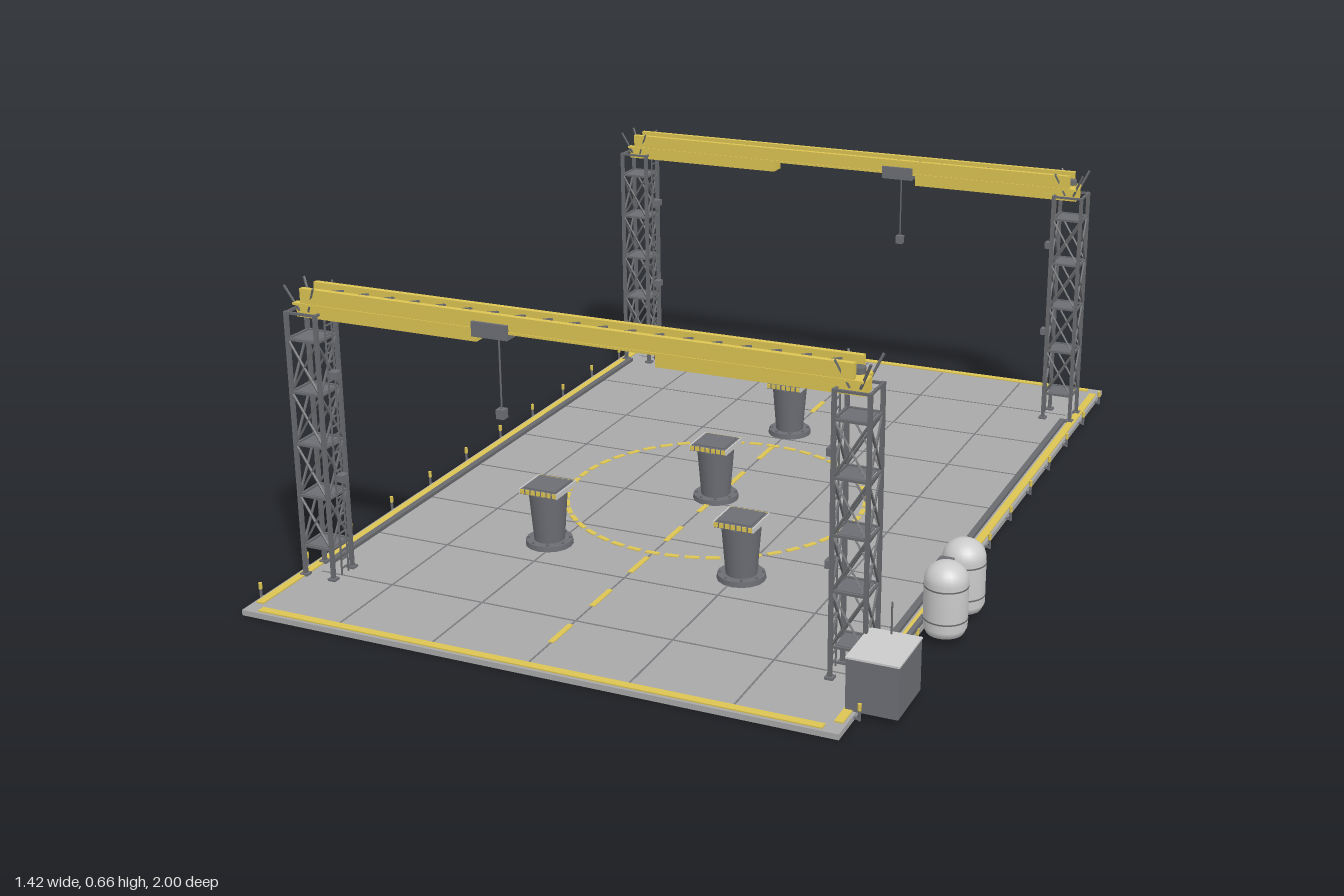
import * as THREE from 'three';

const CX = -0.0425, FLOOR = 0.012;
const mat = (color) => new THREE.MeshStandardMaterial({ color });
const V = (x, y, z) => new THREE.Vector3(x, y, z);

export function createModel() {
  const root = new THREE.Group();
  const yellow = mat(0xdcc452), dark = mat(0x6c6e74), steel = mat(0x6a6b6e);
  const grey = mat(0xcccccc), deck = mat(0xa8a8a8), seam = mat(0x7c7d80);

  const group = (name, parent = root) => {
    const g = new THREE.Group();
    g.name = name;
    parent.add(g);
    return g;
  };
  const add = (parent, name, geo, m, x = 0, y = 0, z = 0) => {
    const mesh = new THREE.Mesh(geo, m);
    mesh.name = name;
    mesh.position.set(x, y, z);
    parent.add(mesh);
    return mesh;
  };
  const box = (p, name, w, h, d, x, y, z, m) => add(p, name, new THREE.BoxGeometry(w, h, d), m, x, y, z);
  const cyl = (p, name, rt, rb, h, n, x, y, z, m) => add(p, name, new THREE.CylinderGeometry(rt, rb, h, n), m, x, y, z);
  // square bar running from a to b
  const bar = (p, name, a, b, t, m) => {
    const mid = a.clone().add(b).multiplyScalar(0.5);
    const mesh = box(p, name, t, t, a.distanceTo(b), mid.x, mid.y, mid.z, m);
    mesh.quaternion.setFromUnitVectors(V(0, 0, 1), b.clone().sub(a).normalize());
    return mesh;
  };

  // floor slab with tile seams
  const floor = group('floor');
  floor.position.x = CX;
  box(floor, 'slab', 1.305, FLOOR, 2, 0, FLOOR / 2, 0, deck);
  for (let i = -2; i <= 2; i++) box(floor, 'tileSeam', 0.004, 0.001, 1.94, i * 0.217, FLOOR + 0.0002, 0, seam);
  for (let i = 0; i < 8; i++) box(floor, 'tileSeam', 1.22, 0.001, 0.004, 0, FLOOR + 0.0002, -0.777 + i * 0.222, seam);

  // painted edges, low side rails and marker posts
  for (const s of [-1, 1]) {
    box(floor, 'sideStripe', 0.018, 0.003, 1.92, s * 0.637, FLOOR + 0.0012, 0, yellow);
    box(floor, 'endStripe', 1.235, 0.003, 0.018, 0, FLOOR + 0.0012, s * 0.984, yellow);
    box(floor, 'sideRail', 0.014, 0.008, 1.46, s * 0.615, FLOOR + 0.004, 0, steel);
    for (let i = 0; i < 12; i++) {
      const z = -0.92 + i * 0.1673;
      cyl(floor, 'markerPost', 0.003, 0.003, 0.03, 6, s * 0.663, 0.017, z, dark);
      cyl(floor, 'markerPostTip', 0.004, 0.004, 0.014, 6, s * 0.663, 0.03, z, yellow);
      box(floor, 'postBracket', 0.014, 0.004, 0.006, s * 0.657, 0.006, z, dark);
    }
  }

  // dashed centre line and circle
  const marks = group('floorMarkings');
  marks.position.set(CX, FLOOR + 0.0012, 0);
  for (let i = 0; i < 10; i++) box(marks, 'lineDash', 0.012, 0.002, 0.085, 0, 0, 0.84 - i * 0.1777, yellow);
  for (let i = 0; i < 48; i++) {
    const a = (i / 48) * Math.PI * 2;
    const d = box(marks, 'circleDash', 0.012, 0.002, 0.032, 0.347 * Math.cos(a), 0.0003, 0.07 + 0.347 * Math.sin(a), yellow);
    d.rotation.y = -a;
  }

  // lattice tower; local +x points to the inside of the bay
  const W = 0.035, TOP = 0.6, LEVELS = [0.08, 0.195, 0.31, 0.425, 0.54];
  const tower = (parent, side) => {
    const t = group('tower', parent);
    t.position.x = side * 0.596;
    t.rotation.y = side > 0 ? Math.PI : 0;
    const corners = [[-W, -W], [W, -W], [W, W], [-W, W]];
    corners.forEach(([x, z], i) => {
      const [u, w] = corners[(i + 1) % 4];
      box(t, 'leg', 0.008, TOP - FLOOR, 0.008, x, (TOP + FLOOR) / 2, z, steel);
      box(t, 'foot', 0.018, 0.005, 0.018, x, FLOOR + 0.0025, z, dark);
      for (const y of [...LEVELS, TOP - 0.003]) bar(t, 'crossbar', V(x, y, z), V(u, y, w), 0.005, steel);
      for (let k = 0; k < 4; k++) {
        bar(t, 'brace', V(x, LEVELS[k], z), V(u, LEVELS[k + 1], w), 0.004, steel);
        bar(t, 'brace', V(u, LEVELS[k], w), V(x, LEVELS[k + 1], z), 0.004, steel);
      }
      // splayed strut at the tower head
      bar(t, 'headStrut', V(x * 0.3, TOP, z * 0.6), V(x, 0.655, z), 0.004, steel);
    });
    for (const y of LEVELS) box(t, 'landing', 0.056, 0.003, 0.056, 0, y, 0, dark);
    // ladder and lamps on the inner face
    for (const z of [-0.012, 0.012]) box(t, 'ladderRail', 0.003, 0.57, 0.003, W + 0.006, 0.3, z, steel);
    for (let y = 0.03; y < 0.58; y += 0.02) box(t, 'ladderRung', 0.003, 0.003, 0.024, W + 0.006, y, 0, steel);
    for (const y of [0.235, 0.463]) box(t, 'lamp', 0.018, 0.016, 0.02, W + 0.015, y, 0, dark);
    cyl(t, 'headPulley', 0.013, 0.013, 0.012, 12, 0, 0.63, 0, steel);
  };

  // gantry: two towers, twin girders, lacing and a trolley with hook
  const gantry = (z, trolleyX) => {
    const g = group('gantry');
    g.position.set(CX, 0, z);
    for (const s of [-1, 1]) {
      tower(g, s);
      box(g, 'girder', 1.194, 0.036, 0.012, 0, 0.633, s * 0.025, yellow);
      box(g, 'girderFlange', 1.23, 0.005, 0.016, 0, 0.617, s * 0.025, yellow);
      box(g, 'lowerBeam', 0.42, 0.027, 0.042, s * 0.404, 0.6, 0, yellow);
    }
    box(g, 'trolleyTrack', 0.386, 0.006, 0.03, 0, 0.617, 0, steel);
    for (let i = 0; i < 20; i++) {
      const x = -0.57 + i * 0.06;
      if (i < 19) bar(g, 'lacing', V(x, 0.64, 0.02), V(x + 0.045, 0.64, -0.02), 0.004, steel);
    }
    const t = group('trolley', g);
    t.position.x = trolleyX - CX;
    box(t, 'trolleyBody', 0.08, 0.031, 0.075, 0, 0.618, 0, dark);
    cyl(t, 'cable', 0.002, 0.002, 0.17, 6, 0, 0.525, 0, steel);
    box(t, 'hookBlock', 0.018, 0.02, 0.018, 0, 0.435, 0, dark);
  };
  gantry(0.77, -0.198);
  gantry(-0.77, 0.108);

  // work stands with hazard-striped platforms
  for (const [x, z] of [[CX, -0.385], [CX, 0.075], [-0.275, 0.455], [0.185, 0.455]]) {
    const s = group('workStand');
    s.position.set(x, FLOOR, z);
    cyl(s, 'base', 0.052, 0.053, 0.012, 16, 0, 0.006, 0, dark);
    cyl(s, 'column', 0.043, 0.034, 0.112, 16, 0, 0.068, 0, dark);
    box(s, 'cap', 0.09, 0.012, 0.088, 0, 0.132, 0, dark);
    box(s, 'capTop', 0.076, 0.004, 0.076, 0, 0.139, 0, dark);
    for (const f of [-1, 1]) {
      box(s, 'capLip', 0.003, 0.012, 0.09, f * 0.045, 0.133, 0, grey);
      for (let i = 0; i < 7; i++) box(s, 'hazardBlock', 0.009, 0.01, 0.003, -0.039 + i * 0.013, 0.133, f * 0.045, yellow);
    }
    for (let i = 0; i < 8; i++) {
      const a = (i + 0.5) * Math.PI / 4;
      cyl(s, 'bolt', 0.003, 0.003, 0.005, 6, 0.046 * Math.cos(a), 0.014, 0.046 * Math.sin(a), steel);
    }
  }

  // storage tanks with domed ends and a manifold between them
  const utilities = group('utilities');
  const profile = [new THREE.Vector2(0, 0.158)];
  for (let i = 1; i <= 8; i++) {
    const a = (i / 8) * Math.PI / 2;
    profile.push(new THREE.Vector2(0.045 * Math.sin(a), 0.118 + 0.04 * Math.cos(a)));
  }
  profile.push(new THREE.Vector2(0.045, 0.02), new THREE.Vector2(0.038, 0.005), new THREE.Vector2(0, 0));
  profile.reverse();
  for (const z of [0.418, 0.537]) {
    add(utilities, 'tank', new THREE.LatheGeometry(profile, 24), grey, 0.662, FLOOR, z);
    for (const y of [0.05, 0.12]) cyl(utilities, 'tankBand', 0.0458, 0.0458, 0.003, 24, 0.662, y, z, steel);
  }
  box(utilities, 'manifold', 0.03, 0.13, 0.03, 0.64, 0.08, 0.478, dark);

  // generator cabinet, exhaust and feed pipe
  box(utilities, 'cabinet', 0.104, 0.108, 0.13, 0.64, 0.066, 0.845, dark);
  box(utilities, 'cabinetLid', 0.106, 0.004, 0.132, 0.64, 0.12, 0.845, grey);
  cyl(utilities, 'exhaust', 0.002, 0.002, 0.07, 8, 0.635, 0.153, 0.79, steel);
  bar(utilities, 'feedPipe', V(0.617, 0.04, 0.79), V(0.617, 0.04, 0.537), 0.01, dark);
  bar(utilities, 'feedPipe', V(0.617, 0.04, 0.537), V(0.65, 0.04, 0.537), 0.01, dark);

  return root;
}
